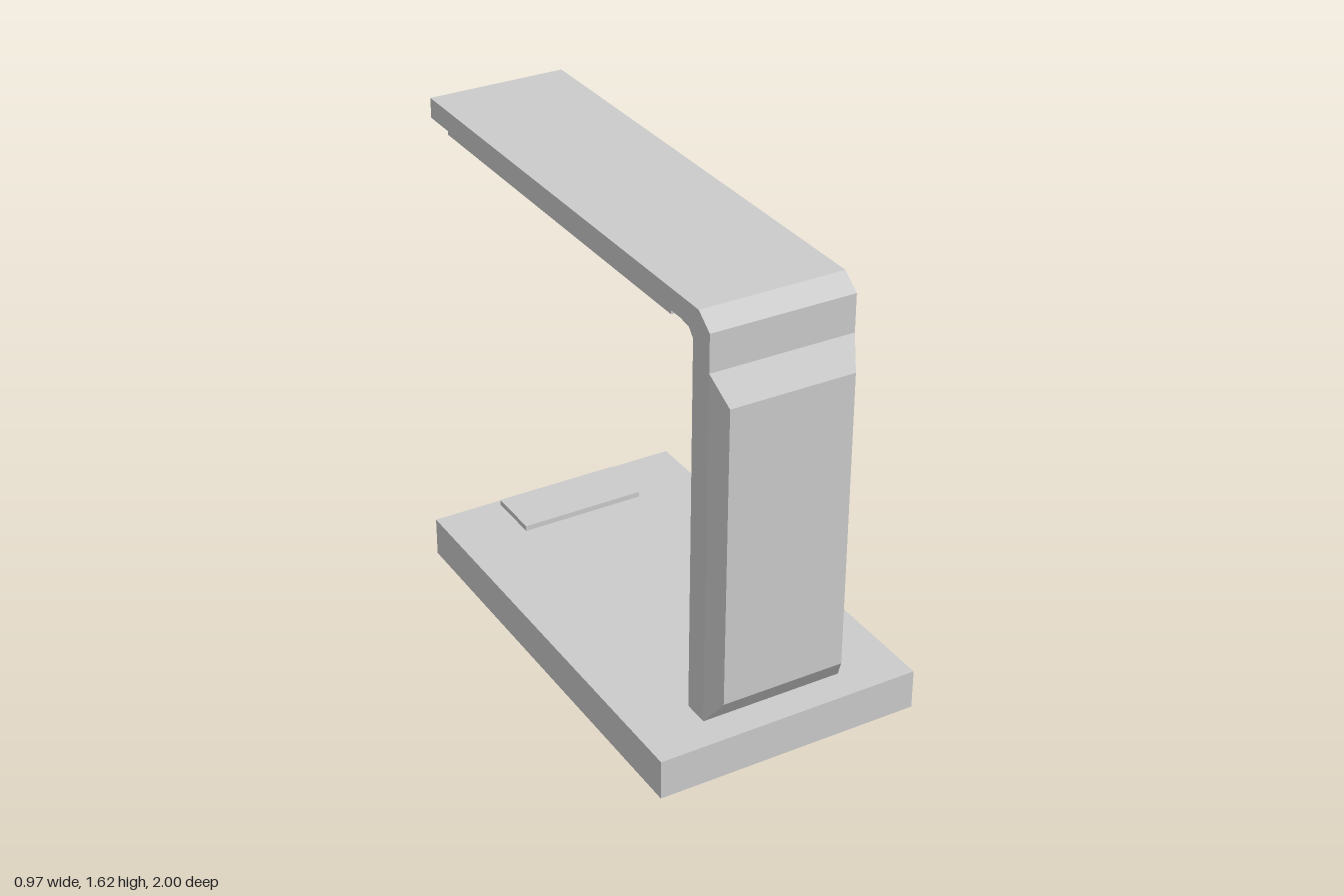
import * as THREE from 'three';

const grey = new THREE.MeshStandardMaterial({ color: 0xcccccc, flatShading: true });
const dark = new THREE.MeshStandardMaterial({ color: 0x444444, flatShading: true });
const teal = new THREE.MeshStandardMaterial({ color: 0x14b8ae, flatShading: true });

export function createModel() {
  const model = new THREE.Group();
  model.name = 'deskLamp';

  const add = (name, geometry, material = grey) => {
    const mesh = new THREE.Mesh(geometry, material);
    mesh.name = name;
    model.add(mesh);
    return mesh;
  };

  // Box given by its limits, symmetric in x
  const slab = (halfX, y0, y1, z0, z1) =>
    new THREE.BoxGeometry(2 * halfX, y1 - y0, z1 - z0).translate(0, (y0 + y1) / 2, (z0 + z1) / 2);

  // Flat rectangular ring, symmetric in x
  const ring = (halfX, y0, y1, z0, z1, rim) => {
    const rect = (Type, m) => {
      const path = new Type();
      path.moveTo(-halfX + m, -z1 + m);
      path.lineTo(halfX - m, -z1 + m);
      path.lineTo(halfX - m, -z0 - m);
      path.lineTo(-halfX + m, -z0 - m);
      path.closePath();
      return path;
    };
    const shape = rect(THREE.Shape, 0);
    shape.holes.push(rect(THREE.Path, rim));
    return new THREE.ExtrudeGeometry(shape, { depth: y1 - y0, bevelEnabled: false })
      .rotateX(-Math.PI / 2).translate(0, y0, 0);
  };

  // Moves every vertex of a geometry by a rule
  const reshape = (geometry, rule) => {
    const p = geometry.attributes.position;
    const v = new THREE.Vector3();
    for (let i = 0; i < p.count; i++) {
      rule(v.fromBufferAttribute(p, i));
      p.setXYZ(i, v.x, v.y, v.z);
    }
    geometry.computeVertexNormals();
    return geometry;
  };

  // Base with a hollow underside, a foot plate and a switch pad
  add('base', slab(0.485, 0.035, 0.145, -0.625, 1));
  add('baseRim', ring(0.485, 0, 0.035, -0.625, 1, 0.037));
  add('footPlate', slab(0.235, 0.015, 0.04, -0.22, 0.565));
  add('switchPad', slab(0.235, 0.14, 0.165, -0.6, -0.395));

  // Column and arm as one bent profile (z, y)
  const profile = [
    [0.79, 0.145], [0.885, 0.145], [0.885, 1.565], [0.82, 1.615], [-1, 1.615],
    [-1, 1.54], [0.715, 1.54], [0.765, 1.533], [0.79, 1.505],
  ].map(([z, y]) => new THREE.Vector2(z, y));
  add('columnAndArm', new THREE.ExtrudeGeometry(new THREE.Shape(profile), { depth: 0.52, bevelEnabled: false })
    .translate(0, 0, -0.26).rotateY(-Math.PI / 2));

  // Bevelled panel on the front of the column
  add('columnFront', reshape(new THREE.BoxGeometry(1, 1, 1), (v) => {
    const front = v.z > 0;
    v.x = Math.sign(v.x) * (front ? 0.225 : 0.26);
    v.y = v.y > 0 ? (front ? 1.33 : 1.43) : (front ? 0.24 : 0.145);
    v.z = front ? 0.95 : 0.885;
  }));

  // Light housing under the arm
  add('lightHousing', ring(0.23, 1.495, 1.54, -0.93, 0.61, 0.04));
  add('lightBacking', slab(0.19, 1.533, 1.54, -0.89, 0.57), dark);

  // Pair of light bars, deepest along their inner edges
  for (const side of [1, -1]) {
    add(side > 0 ? 'leftLightBar' : 'rightLightBar', reshape(new THREE.BoxGeometry(1, 1, 1), (v) => {
      const inner = v.x * side < 0;
      const tip = inner && v.y < 0;
      v.x = side * (inner ? 0.012 : 0.165);
      v.y = v.y > 0 ? 1.535 : (inner ? 1.475 : 1.497);
      v.z = v.z > 0 ? (tip ? 0.36 : 0.42) : (tip ? -0.685 : -0.745);
    }), teal);
  }

  return model;
}
